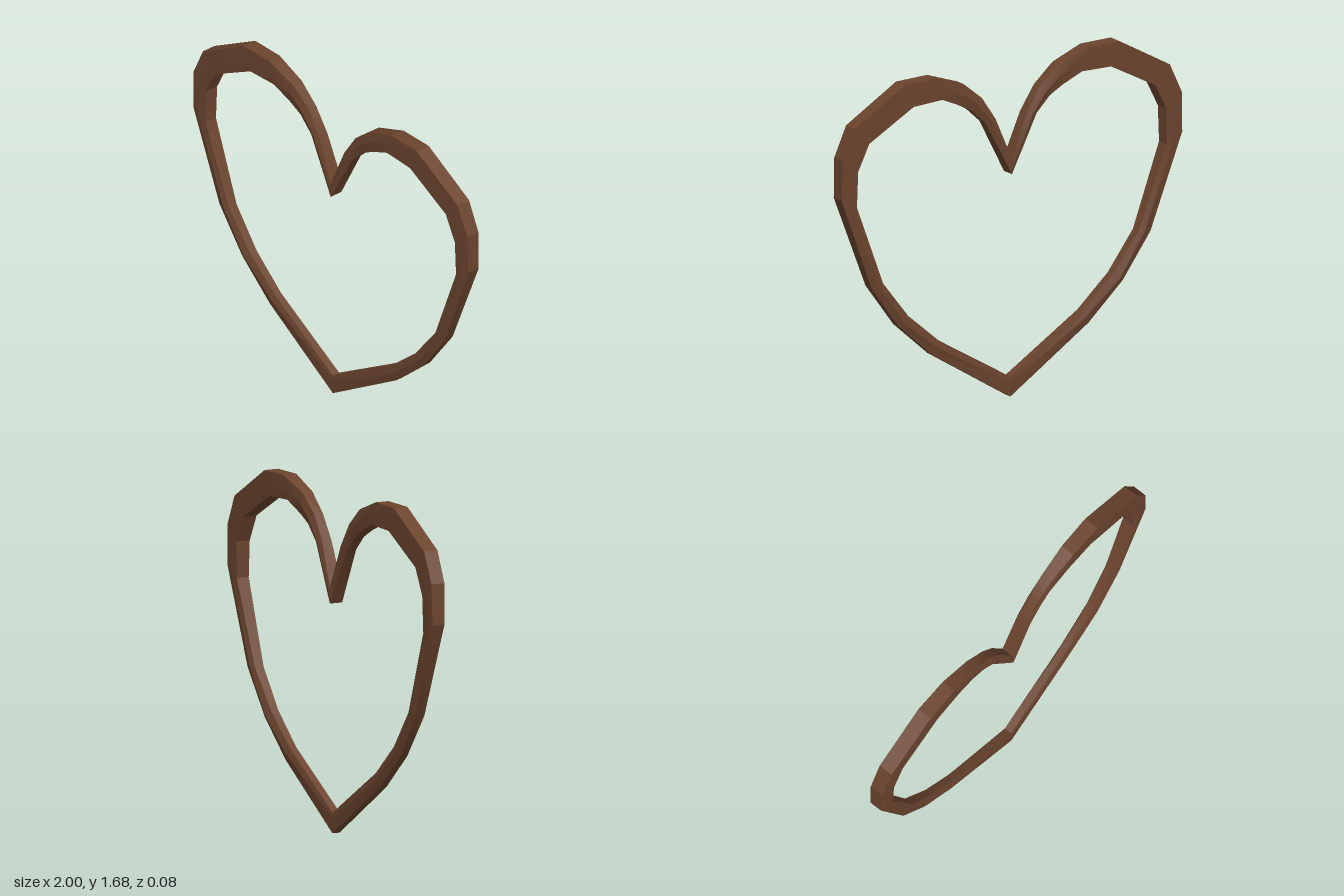
import * as THREE from 'three';
import { toCreasedNormals } from 'three/addons/utils/BufferGeometryUtils.js';

// Stations along the left half, from the bottom tip up to the cleft:
// outer x, y | inner x, y | ridge place (0 outer, 1 inner) | half depth of ridge | half depth of edges
const half = [
  [0, 0, 0, 0.10, 0.7, 0.022, 0.02],
  [0.46, 0.29, 0.42, 0.355, 0.55, 0.03, 0.018],
  [0.66, 0.47, 0.60, 0.51, 0.4, 0.033, 0.02],
  [0.82, 0.69, 0.75, 0.70, 0.6, 0.036, 0.024],
  [1, 1.16, 0.91, 1.11, 0.5, 0.038, 0.033],
  [0.995, 1.36, 0.905, 1.29, 0.5, 0.038, 0.036],
  [0.925, 1.51, 0.84, 1.42, 0.5, 0.038, 0.037],
  [0.63, 1.678, 0.58, 1.56, 0.5, 0.038, 0.038],
  [0.45, 1.68, 0.41, 1.565, 0.5, 0.038, 0.036],
  [0.28, 1.62, 0.30, 1.515, 0.45, 0.038, 0.028],
  [0.17, 1.53, 0.23, 1.475, 0.5, 0.038, 0.024],
  [0.09, 1.41, 0.15, 1.40, 0.5, 0.038, 0.026],
  [0, 1.195, 0, 1.12, 0.5, 0.038, 0.034],
];

// Six-cornered cross-section: edge, ridge, edge on the front, then the back
function section([ox, oy, ix, iy, t, ridge, edge]) {
  const rx = ox + (ix - ox) * t;
  const ry = oy + (iy - oy) * t;
  return [
    [ox, oy, edge], [rx, ry, ridge], [ix, iy, edge],
    [ix, iy, -edge], [rx, ry, -ridge], [ox, oy, -edge],
  ];
}

// Skin a closed chain of cross-sections
function skinLoop(stations) {
  const sides = 6;
  const n = stations.length;
  const positions = stations.flatMap((s) => section(s).flat());
  const index = [];
  for (let i = 0; i < n; i++) {
    const next = (i + 1) % n;
    for (let j = 0; j < sides; j++) {
      const k = (j + 1) % sides;
      const a = i * sides + j, b = next * sides + j;
      const c = next * sides + k, d = i * sides + k;
      index.push(a, b, c, a, c, d);
    }
  }
  const geometry = new THREE.BufferGeometry();
  geometry.setAttribute('position', new THREE.Float32BufferAttribute(positions, 3));
  geometry.setIndex(index);
  return toCreasedNormals(geometry, 0.35);
}

export function createModel() {
  const group = new THREE.Group();
  group.name = 'heartFrame';

  const brown = new THREE.MeshStandardMaterial({ color: 0x6b442e });
  brown.name = 'brown wood';

  // Mirror the half to close the heart
  const mirrored = half.slice(1, -1).reverse()
    .map(([ox, oy, ix, iy, ...rest]) => [-ox, oy, -ix, iy, ...rest]);

  const ring = new THREE.Mesh(skinLoop([...half, ...mirrored]), brown);
  ring.name = 'heartRing';
  group.add(ring);
  return group;
}
